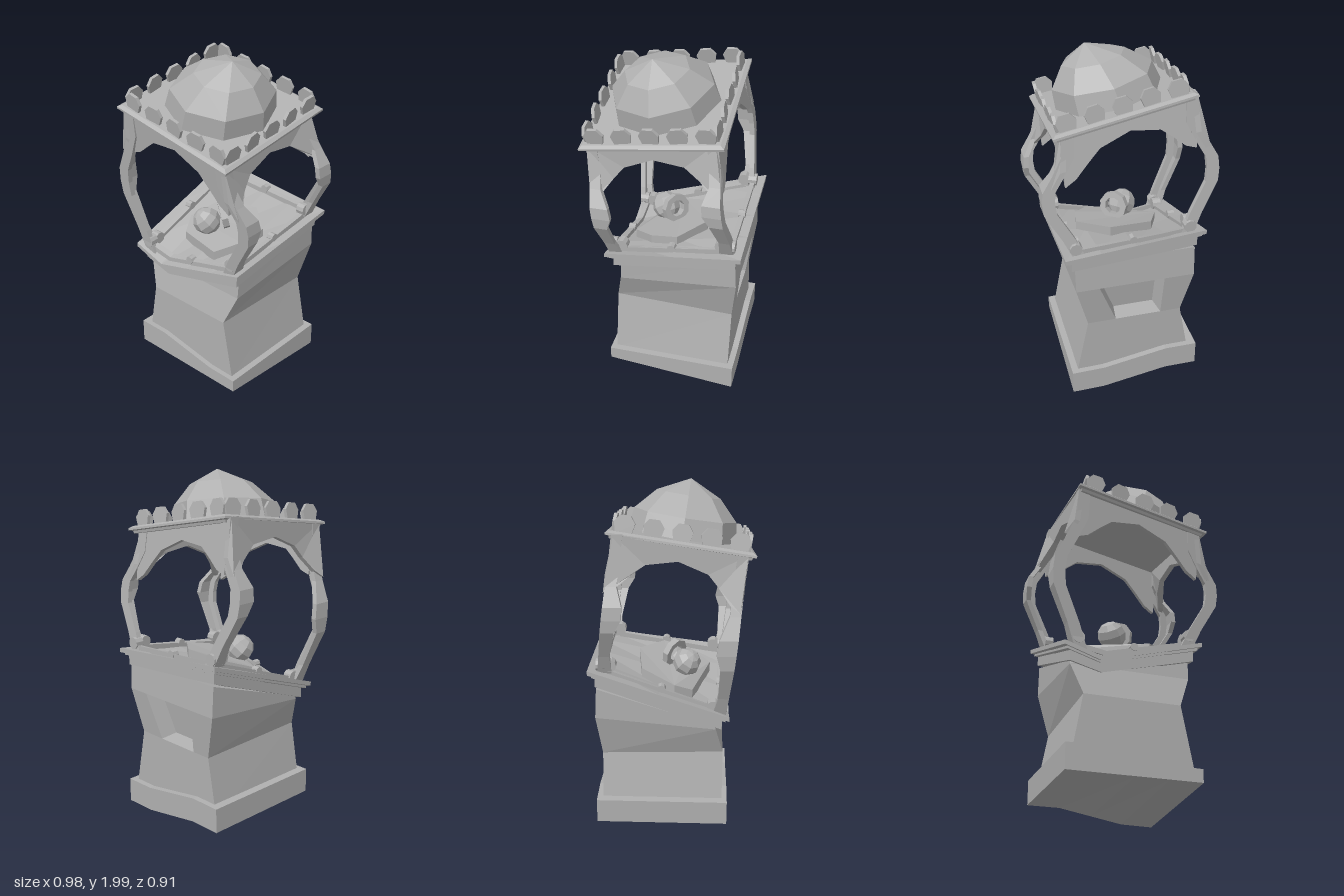
import * as THREE from 'three';

const stone = new THREE.MeshStandardMaterial({ color: 0xb0b0b0, flatShading: true });
stone.name = 'grey stone';

const lerp = THREE.MathUtils.lerp;
const clamp01 = (v) => THREE.MathUtils.clamp(v, 0, 1);

// Warped floor of the platform and tilted underside of the roof
function floorY(x, z) {
  const front = x < -0.2 ? lerp(0.78, 0.715, (x + 0.4) / 0.2) : lerp(0.715, 0.885, (x + 0.2) / 0.6);
  const back = lerp(1.05, 0.98, (x + 0.4) / 0.8);
  return lerp(front, back, (0.33 - z) / 0.78);
}
const roofY = (x, z) => 1.68 - 0.2 * (x - 0.02) - 0.15 * (z - 0.05);

function add(parent, name, geometry) {
  const mesh = new THREE.Mesh(geometry, stone);
  mesh.name = name;
  parent.add(mesh);
  return mesh;
}

// Move every vertex by a rule
function warp(geometry, rule) {
  const p = geometry.attributes.position;
  const v = new THREE.Vector3();
  for (let i = 0; i < p.count; i++) {
    v.fromBufferAttribute(p, i);
    rule(v);
    p.setXYZ(i, v.x, v.y, v.z);
  }
  geometry.computeVertexNormals();
  return geometry;
}
const drape = (geometry) => warp(geometry, (v) => { v.y += floorY(v.x, v.z); });

// Skin a stack of rings (counterclockwise when seen from the end)
function loft(rings, { bottom = true, skip = () => false } = {}) {
  const n = rings[0].length;
  const index = [];
  for (let i = 0; i < rings.length - 1; i++) {
    for (let j = 0; j < n; j++) {
      if (skip(i, j)) continue;
      const a = i * n + j, b = i * n + (j + 1) % n;
      index.push(a, b, b + n, a, b + n, a + n);
    }
  }
  const last = (rings.length - 1) * n;
  for (let j = 1; j < n - 1; j++) {
    if (bottom) index.push(0, j + 1, j);
    index.push(last, last + j, last + j + 1);
  }
  const g = new THREE.BufferGeometry();
  g.setAttribute('position', new THREE.Float32BufferAttribute(rings.flat(2), 3));
  g.setIndex(index);
  g.computeVertexNormals();
  return g;
}
const square = (h, y) => [[-h, y, h], [h, y, h], [h, y, -h], [-h, y, -h]];

// Box draped over the floor, between two heights relative to it
function floorSlab(x0, x1, z0, z1, y0, y1) {
  const g = new THREE.BoxGeometry(x1 - x0, y1 - y0, z1 - z0, 4, 1, 2);
  return drape(g.translate((x0 + x1) / 2, (y0 + y1) / 2, (z0 + z1) / 2));
}

function buildBase(model) {
  // Wavy plinth
  const plinthTop = (x) => lerp(0.215, 0.145, clamp01((x + 0.2) / 0.4));
  const plinth = new THREE.BoxGeometry(0.76, 1, 0.76, 4, 1, 1).translate(-0.01, 0, -0.05);
  add(model, 'plinth', warp(plinth, (v) => {
    const back = clamp01((0.33 - v.z) / 0.76);
    v.y = v.y > 0 ? plinthTop(v.x) : lerp(0.07, plinthTop(v.x) - 0.145, back);
  }));

  // Waisted body; the two extra points on the back edge frame the niche
  const ring = (x0, x1, n0, n1, zf, zb, yf0, yf1, yb) => [
    [x0, yf0, zf], [x1, yf1, zf], [x1, yb, zb], [n1, yb, zb], [n0, yb, zb], [x0, yb, zb]];
  const rings = [
    ring(-0.355, 0.335, -0.17, 0.1, 0.3, -0.395, 0.13, 0.13, 0.13),
    ring(-0.29, 0.265, -0.17, 0.1, 0.3, -0.395, 0.5, 0.5, 0.48),
    ring(-0.355, 0.335, -0.18, 0.2, 0.257, -0.425, 0.68, 0.68, 0.74),
    ring(-0.355, 0.338, -0.18, 0.2, 0.25, -0.415, 0.7, 0.79, 0.92)];
  add(model, 'body', loft(rings, { skip: (i, j) => i === 1 && j === 3 }));

  // Niche sunk into the back
  const rim = [rings[1][4], rings[2][4], rings[2][3], rings[1][3]];
  const inner = rim.map(([x, y, z]) => [0.01 + (x - 0.01) * 0.88, 0.61 + (y - 0.61) * 0.9, z + 0.1]);
  add(model, 'niche', loft([rim, inner], { bottom: false }));
}

function buildPlatform(model) {
  const platform = new THREE.Group();
  platform.name = 'platform';
  model.add(platform);
  add(platform, 'frieze', floorSlab(-0.365, 0.355, -0.42, 0.29, -0.098, -0.02));
  add(platform, 'lowerCornice', floorSlab(-0.385, 0.375, -0.435, 0.31, -0.04, -0.02));
  add(platform, 'cornice', floorSlab(-0.405, 0.395, -0.455, 0.33, -0.025, 0));

  // Low rails between the column feet, each with a knob
  const knob = (x, z, alongX) => {
    const m = add(platform, 'railKnob', new THREE.CylinderGeometry(0.024, 0.024, 0.04, 8));
    if (alongX) m.rotation.z = Math.PI / 2; else m.rotation.x = Math.PI / 2;
    m.position.set(x, floorY(x, z) + 0.025, z);
  };
  for (const s of [-1, 1]) {
    const z = s > 0 ? 0.28 : -0.385, x = s * 0.325;
    add(platform, 'rail', floorSlab(-0.32, 0.32, z - 0.015, z + 0.015, -0.005, 0.025));
    add(platform, 'sideRail', floorSlab(x - 0.015, x + 0.015, -0.38, 0.27, -0.005, 0.025));
    knob(0, z, false);
    knob(x, -0.05, true);
  }

  // Irregular dais with the ball and its ring
  const corners = [[-0.25, 0.02], [-0.2, 0.12], [0.12, 0.22], [0.22, 0.1], [0.25, -0.06], [0.08, -0.2], [-0.17, -0.17]];
  const dais = loft([-0.01, 0.05].map((y) => corners.map(([x, z]) => [x, y + floorY(x, z), z])));
  add(platform, 'dais', dais);
  const ball = add(platform, 'ball', new THREE.SphereGeometry(0.083, 8, 6));
  ball.position.set(-0.06, 0.965, 0.085);
  ball.rotation.set(0.4, 0.3, 0.5);
  const ringProfile = [[0.05, -0.018], [0.085, -0.018], [0.085, 0.018], [0.05, 0.018], [0.05, -0.018]];
  const collar = add(platform, 'ballRing',
    new THREE.LatheGeometry(ringProfile.map(([r, y]) => new THREE.Vector2(r, y)), 9));
  collar.position.set(0.005, 1.0, 0.01);
  collar.quaternion.setFromUnitVectors(new THREE.Vector3(0, 1, 0), new THREE.Vector3(0.62, 0.22, -0.75).normalize());
}

// Bowed columns: [height fraction, x of centre, depth of the side flange]
const COLUMN = [[0, 0.31, 0.08], [0.15, 0.36, 0.06], [0.37, 0.45, 0.075], [0.46, 0.457, 0.105],
  [0.55, 0.45, 0.1], [0.67, 0.395, 0.06], [0.81, 0.34, 0.06], [1, 0.335, 0.06]];

function buildColumn(model, sx, sz) {
  const zBase = sz > 0 ? 0.31 : -0.405;
  const y0 = floorY(sx * 0.31, zBase) - 0.01;
  const y1 = roofY(sx * 0.34, zBase + 0.1) + 0.01;
  const rings = COLUMN.map(([t, cx, d]) => {
    const o = cx + 0.035, i = cx - 0.035, z = zBase + 0.1 * t, y = lerp(y0, y1, t);
    const section = [[i, 0], [o, 0], [o, d], [o - 0.03, d], [o - 0.03, 0.03], [i, 0.03]]
      .map(([x, depth]) => [sx * x, y, z - sz * depth]);
    return sx * sz > 0 ? section : section.reverse();
  });
  add(model, 'column', loft(rings));

  // Rosettes at the foot
  const yRosette = y0 + (sz > 0 ? 0.07 : 0.045);
  const disc = new THREE.CylinderGeometry(0.036, 0.036, 0.05, 10);
  const front = add(model, 'footRosette', disc);
  front.rotation.x = Math.PI / 2;
  front.position.set(sx * 0.325, yRosette, zBase - sz * 0.018);
  const side = add(model, 'footRosette', disc);
  side.rotation.z = Math.PI / 2;
  side.position.set(sx * 0.325, yRosette, zBase - sz * 0.07);
}

function buildArches(model) {
  // Pointed arch hanging from the roof
  const half = [[0.35, 0.005], [0.365, -0.2], [0.36, -0.29], [0.3, -0.26], [0.23, -0.19], [0.165, -0.13]];
  const outline = [...half.map(([u, v]) => [-u, v]), [0, -0.085], ...half.slice().reverse()];
  const panel = () => new THREE.ExtrudeGeometry(
    new THREE.Shape(outline.map(([u, v]) => new THREE.Vector2(u, v))), { depth: 0.03, bevelEnabled: false });
  // The lower tips lean with the columns and splay outward by the given amount
  const hang = (name, g, splay) => add(model, name, warp(g, (v) => {
    const drop = v.y;
    v.y += roofY(v.x, v.z);
    v.z += 0.15 * drop;
    v.x += splay * Math.max(0, -drop - 0.17);
  }));
  hang('frontArch', panel().translate(0, 0, 0.375), 0);
  hang('backArch', panel().translate(0, 0, -0.3), 0);
  for (const s of [-1, 1]) {
    hang('sideArch', panel().rotateY(Math.PI / 2).translate(s * 0.352 - 0.015, 0, 0.055), s * 0.6);
  }
}

function buildRoof(model) {
  const roof = new THREE.Group();
  roof.name = 'roof';
  roof.position.set(0.02, 1.68, 0.05);
  roof.quaternion.setFromUnitVectors(new THREE.Vector3(0, 1, 0), new THREE.Vector3(0.2, 1, 0.15).normalize());
  model.add(roof);
  add(roof, 'roofSlab', loft([square(0.375, -0.02), square(0.38, -0.006), square(0.398, -0.002),
    square(0.398, 0.01), square(0.378, 0.022)]));

  // Shield-shaped battlements, five per side
  const shield = new THREE.Shape([[-0.042, 0], [0.042, 0], [0.056, 0.06], [0.028, 0.098], [-0.028, 0.098], [-0.056, 0.06]]
    .map(([x, y]) => new THREE.Vector2(x, y)));
  const merlon = new THREE.ExtrudeGeometry(shield, { depth: 0.018, bevelEnabled: false }).translate(0, 0, -0.009);
  for (let side = 0; side < 4; side++) {
    const edge = new THREE.Group();
    edge.name = 'battlement';
    edge.rotation.y = side * Math.PI / 2;
    roof.add(edge);
    for (let i = -2; i <= 2; i++) {
      const m = add(edge, 'merlon', merlon);
      m.position.set(i * 0.153, 0.012, 0.358);
      m.rotation.y = i % 2 ? 0.08 : -0.06;
    }
  }

  // Faceted dome, its crown leaning sideways
  const profile = [[0.306, 0.015], [0.288, 0.135], [0.18, 0.25], [0, 0.337]].map(([r, y]) => new THREE.Vector2(r, y));
  add(roof, 'dome', warp(new THREE.LatheGeometry(profile, 8), (v) => { v.x += 0.55 * v.y * v.y; }));
}

export function createModel() {
  const model = new THREE.Group();
  model.name = 'pavilion';
  buildBase(model);
  buildPlatform(model);
  for (const sx of [-1, 1]) for (const sz of [-1, 1]) buildColumn(model, sx, sz);
  buildArches(model);
  buildRoof(model);
  return model;
}
